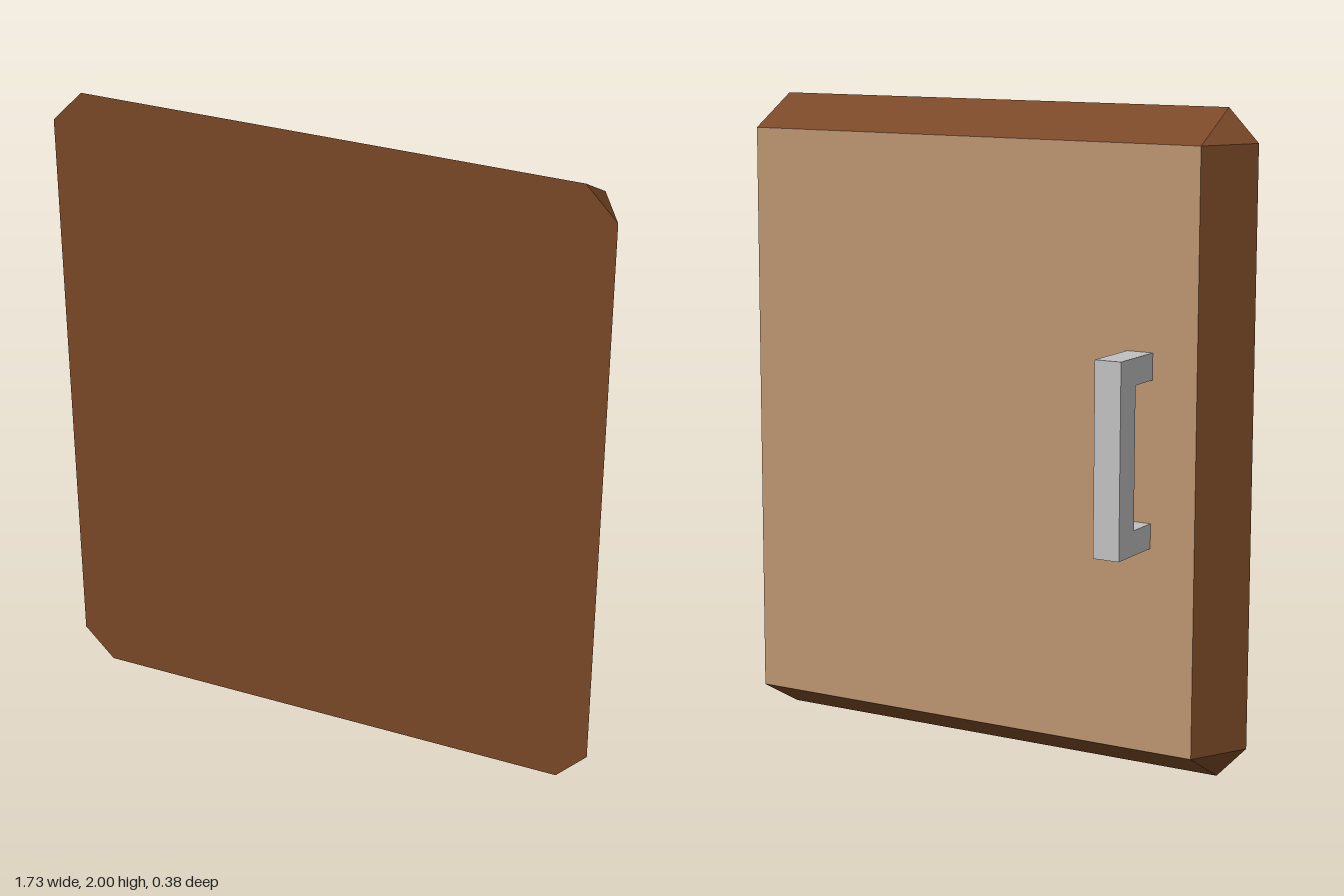
import * as THREE from 'three';

const mat = (name, color) => Object.assign(new THREE.MeshStandardMaterial({ color }), { name });

// Flat-shaded surface from convex loops of corners (counter-clockwise from outside)
function facets(loops) {
  const pos = [];
  for (const loop of loops)
    for (let i = 1; i < loop.length - 1; i++) pos.push(...loop[0], ...loop[i], ...loop[i + 1]);
  const geo = new THREE.BufferGeometry();
  geo.setAttribute('position', new THREE.Float32BufferAttribute(pos, 3));
  geo.computeVertexNormals();
  return geo;
}

export function createModel() {
  const wood = mat('dark wood', 0x784726);
  const panel = mat('light wood', 0xbb936f);
  const metal = mat('handle grey', 0xc0c0c0);

  const door = new THREE.Group();
  door.name = 'cabinetDoor';
  const add = (name, geo, material) => {
    const mesh = new THREE.Mesh(geo, material);
    mesh.name = name;
    door.add(mesh);
  };

  // Outer octagon on the front, smaller rectangle on the back
  const W = 0.863, w = 0.767, H = 1, h = 0.9, zF = 0.179, zB = 0;
  const front = [[W, -h], [W, h], [w, H], [-w, H], [-W, h], [-W, -h], [-w, -H], [w, -H]]
    .map(([x, y]) => [x, y + 1, zF]);
  const back = [[w, -h], [w, h], [-w, h], [-w, -h]].map(([x, y]) => [x, y + 1, zB]);

  // Slanted edges and corner triangles
  const loops = [front];
  for (let i = 0; i < 4; i++) {
    const a = front[2 * i], b = front[2 * i + 1], c = front[(2 * i + 2) % 8];
    const p = back[i], q = back[(i + 1) % 4];
    if (i % 2 === 0) loops.push([a, p, q, b]);
    else loops.push([a, p, q, b]);
    loops.push([b, q, c]);
  }
  add('doorSlab', facets(loops), wood);
  add('backPanel', facets([back.slice().reverse()]), panel);

  // Square C-shaped handle, drawn in side profile and extruded across
  const profile = new THREE.Shape([
    [0, 0.72], [0.197, 0.72], [0.197, 1.3], [0, 1.3],
    [0, 1.22], [0.106, 1.22], [0.106, 0.795], [0, 0.795],
  ].map(([x, y]) => new THREE.Vector2(x, y)));
  const handle = new THREE.ExtrudeGeometry(profile, { depth: 0.084, bevelEnabled: false });
  handle.rotateY(Math.PI / 2).translate(-0.624, 0, 0);
  add('handle', handle, metal);

  // The door stands slightly turned
  door.rotation.y = 0.0125;
  const model = new THREE.Group();
  model.name = 'model';
  model.add(door);
  return model;
}
